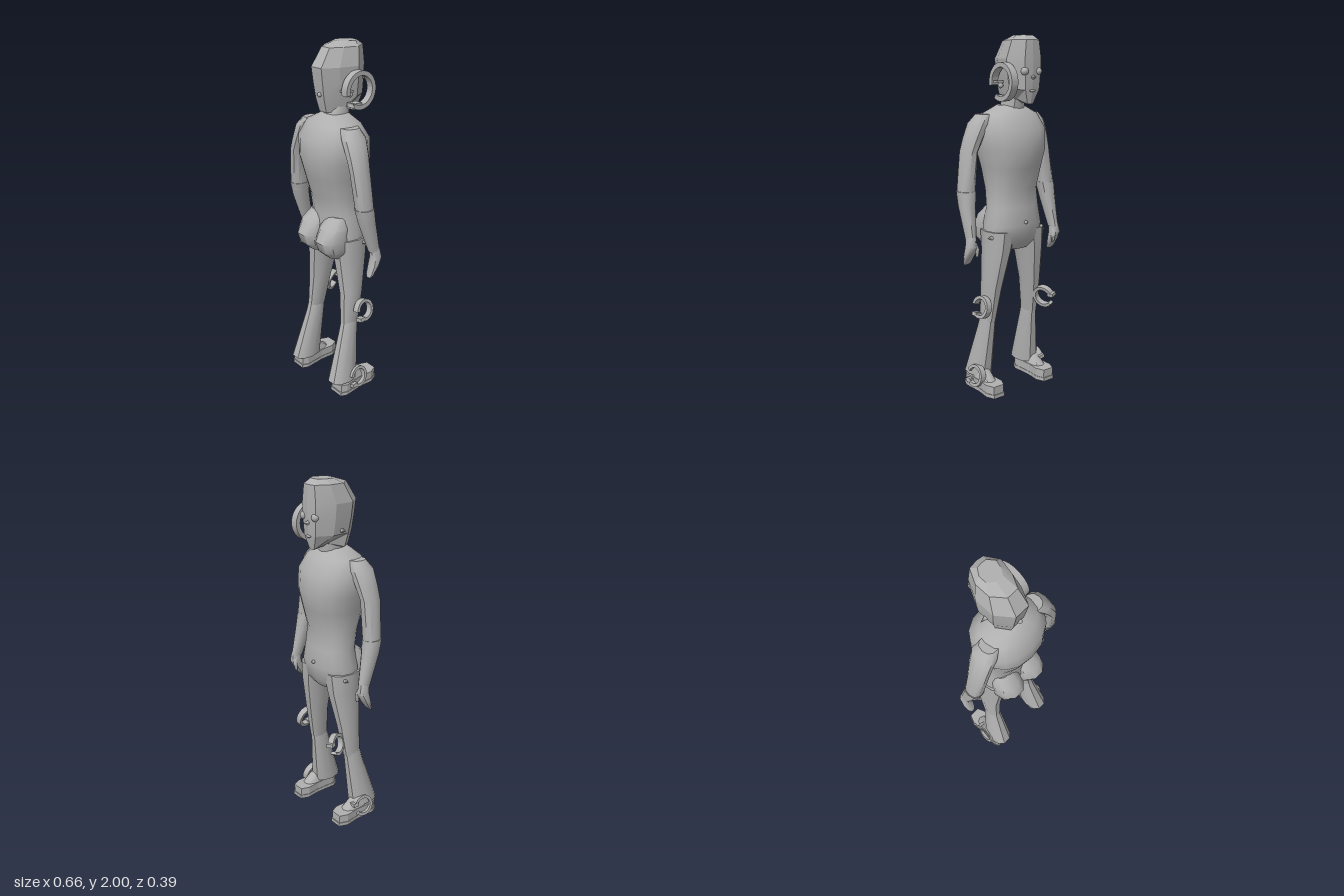
import * as THREE from 'three';
import { toCreasedNormals } from 'three/addons/utils/BufferGeometryUtils.js';

const clay = new THREE.MeshStandardMaterial({ color: 0xb0b0b0 });
clay.name = 'clay grey';

// Skin over horizontal cross-sections listed from top to bottom, closed at both ends
function skin(rings, crease = 0.6) {
  const n = rings[0].length, pos = [], idx = [];
  rings.forEach(r => r.forEach(p => pos.push(...p)));
  for (const r of [rings[0], rings[rings.length - 1]]) {
    const c = [0, 1, 2].map(k => r.reduce((sum, p) => sum + p[k], 0) / n);
    pos.push(...c);
  }
  const top = rings.length * n, bottom = top + 1, last = (rings.length - 1) * n;
  for (let j = 0; j < n; j++) {
    const k = (j + 1) % n;
    for (let i = 0; i < rings.length - 1; i++) {
      const a = i * n + j, b = i * n + k, c = a + n, d = b + n;
      idx.push(a, b, d, a, d, c);
    }
    idx.push(top, k, j, bottom, last + j, last + k);
  }
  const g = new THREE.BufferGeometry();
  g.setAttribute('position', new THREE.Float32BufferAttribute(pos, 3));
  g.setIndex(idx);
  return toCreasedNormals(g, crease);
}

// Oval cross-section, slightly squared by the power
function oval(x, y, z, rx, rz, n = 12, power = 0.85) {
  const f = v => Math.sign(v) * Math.abs(v) ** power;
  return Array.from({ length: n }, (_, j) => {
    const a = (j / n) * Math.PI * 2;
    return [x + rx * f(Math.cos(a)), y, z + rz * f(Math.sin(a))];
  });
}

// Open C-shaped ring of square section, its axis along x
function openRing(outer, inner, depth, start, sweep) {
  const s = new THREE.Shape();
  s.absarc(0, 0, outer, start, start + sweep, false);
  s.absarc(0, 0, inner, start + sweep, start, true);
  const g = new THREE.ExtrudeGeometry(s, { depth, bevelEnabled: false, curveSegments: 24 });
  g.translate(0, 0, -depth / 2);
  g.rotateY(Math.PI / 2);
  return toCreasedNormals(g, 0.6);
}

export function createModel() {
  const model = new THREE.Group();
  model.name = 'figure';
  const add = (name, geo, x = 0, y = 0, z = 0, parent = model) => {
    const m = new THREE.Mesh(geo, clay);
    m.name = name;
    m.position.set(x, y, z);
    parent.add(m);
    return m;
  };

  // Torso: y, half width, back z, front z
  add('torso', skin([
    [1.635, 0.07, 0.09, -0.055], [1.59, 0.16, 0.14, -0.1], [1.51, 0.2, 0.185, -0.15],
    [1.4, 0.19, 0.19, -0.165], [1.3, 0.165, 0.165, -0.145], [1.18, 0.15, 0.125, -0.11],
    [1.08, 0.155, 0.105, -0.12], [0.98, 0.175, 0.12, -0.13], [0.89, 0.175, 0.11, -0.115],
    [0.84, 0.09, 0.08, -0.08],
  ].map(([y, w, b, f]) => oval(0, y, (b + f) / 2, w, (b - f) / 2, 16)), 0.9));
  add('neck', skin([oval(-0.005, 1.7, -0.02, 0.055, 0.06), oval(0, 1.6, 0.005, 0.065, 0.075)]));

  // Head: faceted outline (x, z) scaled at each level
  const outline = [[0.95, -0.35], [0.75, 0.4], [0.35, 1], [-0.4, 1], [-1, 0.45], [-1, -0.3], [-0.55, -0.95], [0, -1], [0.45, -0.95]];
  add('head', skin([
    [2.0, 0.055, -0.02, -0.13], [1.975, 0.085, 0.06, -0.165], [1.88, 0.108, 0.122, -0.17],
    [1.8, 0.103, 0.112, -0.168], [1.72, 0.092, 0.1, -0.165], [1.645, 0.075, 0.08, -0.15],
  ].map(([y, w, b, f], i) => outline.map(([x, z]) => {
    const jaw = i === 5 && z < -0.2 ? 0.5 : 1;
    return [-0.012 + x * w * jaw, y + (i === 5 && Math.abs(z + 0.3) < 0.1 ? 0.025 : 0), (b + f) / 2 + z * (b - f) / 2];
  })), 0.25));

  // Face details
  const nose = new THREE.ConeGeometry(0.022, 0.05, 4);
  nose.rotateX(-Math.PI / 2);
  add('nose', nose, -0.013, 1.785, -0.172);
  for (const s of [-1, 1]) add('eye', new THREE.SphereGeometry(0.021, 12, 8), -0.012 + s * 0.045, 1.815, -0.155);
  const lips = new THREE.SphereGeometry(0.014, 10, 6);
  lips.scale(1.5, 0.5, 0.6);
  add('mouth', lips, -0.012, 1.715, -0.164);
  add('rearStud', new THREE.SphereGeometry(0.013, 8, 6), -0.01, 1.74, 0.105);
  const spike = new THREE.ConeGeometry(0.016, 0.045, 6);
  spike.rotateZ(Math.PI / 2);
  add('earSpike', spike, -0.12, 1.74, -0.02);
  add('earStud', new THREE.SphereGeometry(0.015, 8, 6), 0.088, 1.74, -0.018);

  // Ear ring with a clip at its open end
  const ear = new THREE.Group();
  ear.name = 'earRing';
  ear.position.set(0.104, 1.76, -0.065);
  model.add(ear);
  add('ring', openRing(0.101, 0.076, 0.042, -2.15, 5.5), 0, 0, 0, ear);
  add('clip', new THREE.BoxGeometry(0.05, 0.03, 0.06), -0.01, -0.08, 0.02, ear);
  add('pin', new THREE.BoxGeometry(0.05, 0.012, 0.05), -0.015, 0, 0.07, ear);

  for (const s of [-1, 1]) {
    const tube = rows => skin(rows.map(([x, y, z, rx, rz]) => oval(s * x, y, z, rx, rz, 10)), 0.7);
    // Arm, sleeve cuff and hand
    add('upperArm', tube([
      [0.15, 1.59, 0.04, 0.05, 0.05], [0.19, 1.54, 0.045, 0.052, 0.07], [0.225, 1.46, 0.05, 0.047, 0.065],
      [0.25, 1.39, 0.055, 0.041, 0.06], [0.276, 1.19, 0.045, 0.046, 0.052], [0.278, 1.14, 0.04, 0.044, 0.05],
    ]));
    add('forearm', tube([
      [0.277, 1.18, 0.045, 0.05, 0.054], [0.283, 1.1, 0.03, 0.043, 0.05], [0.292, 0.92, -0.02, 0.026, 0.034],
    ]));
    add('hand', tube([
      [0.295, 0.94, -0.02, 0.022, 0.03], [0.296, 0.885, -0.028, 0.031, 0.034], [0.298, 0.84, -0.012, 0.031, 0.026],
      [0.298, 0.79, 0.012, 0.025, 0.014], [0.298, 0.775, 0.022, 0.016, 0.008],
    ]));
    add('thumb', tube([
      [0.283, 0.91, -0.035, 0.012, 0.014], [0.272, 0.87, -0.048, 0.012, 0.013], [0.27, 0.83, -0.045, 0.007, 0.008],
    ]));

    // Buttock: drooping rounded block
    add('buttock', tube([
      [0.075, 1.08, 0.05, 0.055, 0.045], [0.08, 1.02, 0.075, 0.08, 0.085], [0.08, 0.95, 0.09, 0.083, 0.106],
      [0.08, 0.89, 0.085, 0.083, 0.09], [0.075, 0.845, 0.07, 0.06, 0.055],
    ]));

    // Leg with flared trouser
    add('thigh', tube([
      [0.1, 0.95, -0.005, 0.085, 0.11], [0.112, 0.84, -0.005, 0.07, 0.1], [0.138, 0.62, 0.008, 0.053, 0.07],
      [0.15, 0.42, 0.03, 0.037, 0.056],
    ]));
    add('flare', tube([
      [0.15, 0.45, 0.028, 0.036, 0.053], [0.152, 0.38, 0.04, 0.042, 0.058], [0.172, 0.08, 0.1, 0.067, 0.092],
    ]));

    // Shoe: sole, upper and instep
    const plan = new THREE.Shape([[-0.045, -0.155], [0.045, -0.155], [0.06, -0.12], [0.05, 0], [0.056, 0.08],
      [0.035, 0.13], [-0.035, 0.13], [-0.056, 0.08], [-0.05, 0], [-0.06, -0.12]].map(p => new THREE.Vector2(...p)));
    const slab = (w, h) => {
      const g = new THREE.ExtrudeGeometry(plan, { depth: h, bevelEnabled: false });
      g.rotateX(-Math.PI / 2);
      g.scale(w, 1, w);
      return g;
    };
    const shoe = new THREE.Group();
    shoe.name = 'shoe';
    shoe.position.set(s * 0.183, 0, 0.005);
    model.add(shoe);
    add('sole', slab(1, 0.022), 0, 0, 0, shoe);
    add('upper', slab(0.96, 0.05), 0, 0.02, 0, shoe);
    add('instep', skin([oval(0, 0.13, 0.06, 0.035, 0.05), oval(0, 0.068, 0.03, 0.048, 0.1)]), 0, 0, 0, shoe);

    // Hip stud
    const hip = new THREE.ConeGeometry(0.015, 0.04, 6);
    hip.rotateZ(-s * Math.PI / 2);
    add('hipStud', hip, s * 0.187, 0.92, -0.05);
  }
  add('bellyStud', new THREE.SphereGeometry(0.011, 8, 6), 0, 1.0, -0.13);

  // Open rings with clips at the knees and ankles: x, y, z, turn, tilt, gap start
  [
    ['kneeRing', 0.222, 0.52, -0.015, 0.1, 0.22, -2.2], ['kneeRing', -0.16, 0.53, -0.1, 0.35, -0.2, 0.4],
    ['ankleRing', 0.232, 0.09, 0.035, 0.1, 0.2, -2.4], ['ankleRing', -0.228, 0.08, 0.05, -0.1, -0.2, 0.4],
  ].forEach(([name, x, y, z, turn, tilt, start]) => {
    const g = new THREE.Group();
    g.name = name;
    g.position.set(x, y, z);
    g.rotation.set(0, turn, tilt);
    model.add(g);
    add('ring', openRing(0.064, 0.046, 0.036, start, 5.2), 0, 0, 0, g);
    add('clip', new THREE.BoxGeometry(0.04, 0.022, 0.035), 0, Math.sin(start) * 0.058, -Math.cos(start) * 0.058, g);
  });
  return model;
}
